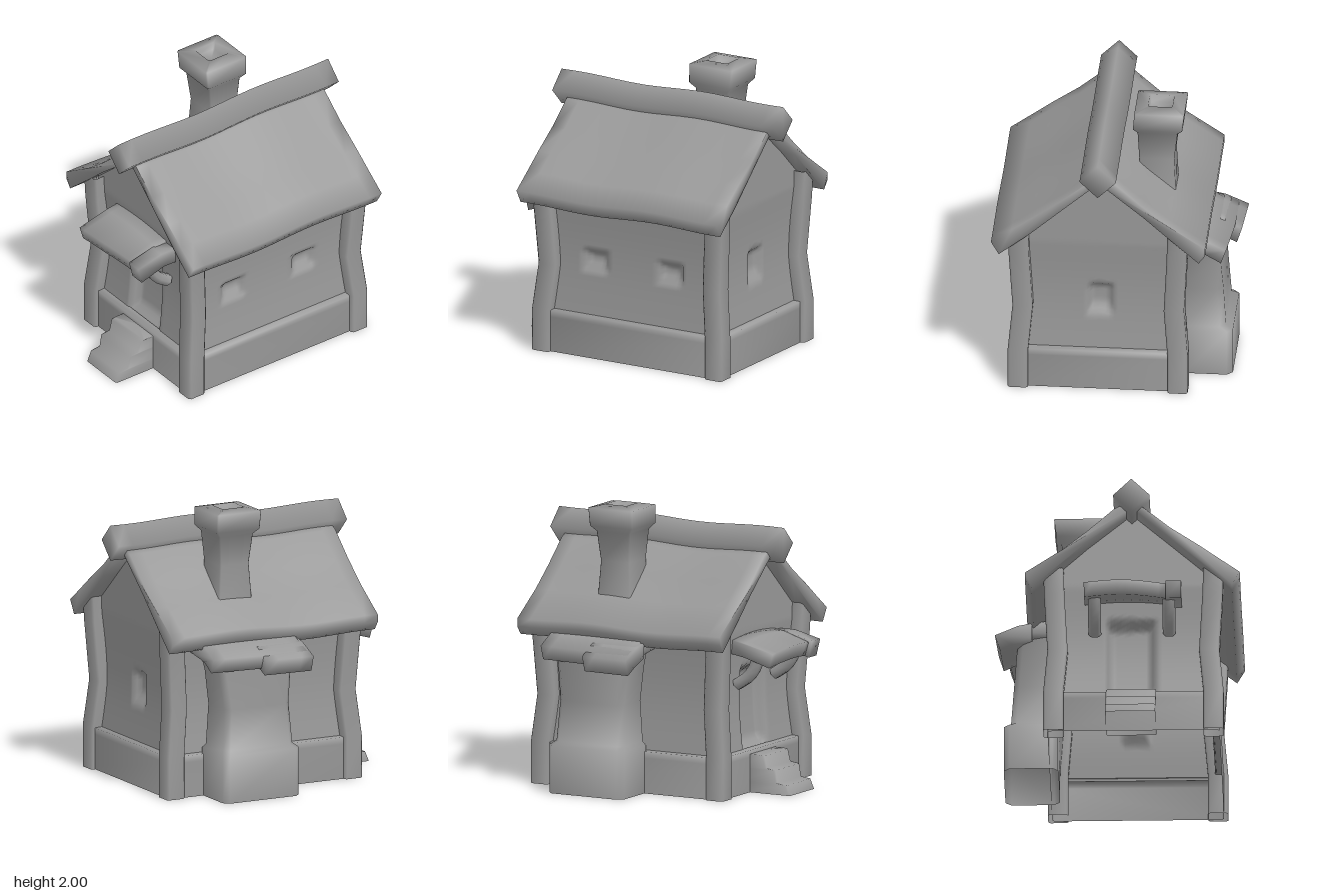
import * as THREE from 'three';
import { toCreasedNormals } from 'three/addons/utils/BufferGeometryUtils.js';

const material = new THREE.MeshStandardMaterial({ color: 0x999999, side: THREE.DoubleSide });

export function createModel() {
  const house = new THREE.Group();

  // Everything is shaded softly, also across its edges
  const add = (name, geometry) => {
    const mesh = new THREE.Mesh(toCreasedNormals(geometry, Math.PI), material);
    mesh.name = name;
    house.add(mesh);
  };

  // Skin of bevelled rectangles stacked upwards: each ring is [y, x0, x1, z0, z1]
  const loft = (rings, bevel = 0.015, closed = false) => {
    const all = rings.slice();
    if (closed) {
      const [y, x0, x1, z0, z1] = rings[rings.length - 1];
      all.push([y, (x0 + x1) / 2, (x0 + x1) / 2, (z0 + z1) / 2, (z0 + z1) / 2]);
    }
    const pos = [], index = [];
    for (const [y, x0, x1, z0, z1] of all) {
      const b = Math.min(bevel, (x1 - x0) / 4, (z1 - z0) / 4);
      const ring = [
        [x1 - b, z1], [x1, z1 - b], [x1, z0 + b], [x1 - b, z0],
        [x0 + b, z0], [x0, z0 + b], [x0, z1 - b], [x0 + b, z1],
      ];
      ring.forEach(([x, z]) => pos.push(x, y, z));
    }
    for (let j = 0; j < all.length - 1; j++) {
      for (let i = 0; i < 8; i++) {
        const a = j * 8 + i, b = j * 8 + (i + 1) % 8;
        index.push(a, b, b + 8);
        if (!closed || j < all.length - 2) index.push(a, b + 8, a + 8);
      }
    }
    const g = new THREE.BufferGeometry();
    g.setAttribute('position', new THREE.Float32BufferAttribute(pos, 3));
    g.setIndex(index);
    g.computeVertexNormals();
    return g;
  };

  // Moves every vertex by a rule
  const warp = (g, rule) => {
    const p = g.attributes.position, v = new THREE.Vector3();
    for (let i = 0; i < p.count; i++) {
      rule(v.fromBufferAttribute(p, i));
      p.setXYZ(i, v.x, v.y, v.z);
    }
    g.computeVertexNormals();
    return g;
  };

  // Outline in (x, y) drawn along z, and outline in (z, y) drawn along x
  const alongZ = (points, z0, z1, steps = 1) => {
    const shape = new THREE.Shape(points.map(([x, y]) => new THREE.Vector2(x, y)));
    return new THREE.ExtrudeGeometry(shape, { depth: z1 - z0, steps, bevelEnabled: false }).translate(0, 0, z0);
  };
  const alongX = (points, x0, x1, steps = 1) =>
    alongZ(points.map(([z, y]) => [-z, y]), x0, x1, steps).rotateY(Math.PI / 2);

  // Wavy sag shared by the ridge and the roof
  const sag = (v) => {
    const t = v.x - 0.08;
    v.y += 0.013 * Math.sin(t * Math.PI / 0.6) * Math.max(0, 1 - (t / 0.92) ** 2);
  };

  // Corner posts, pinched towards the middle of the house at half height
  for (const [side, x, dx] of [['Left', 0.79, -0.035], ['Right', -0.62, 0.035]]) {
    for (const [end, z, dz] of [['front', 0.68, -0.03], ['back', -0.438, 0.028]]) {
      const ring = (y, k) => [y, x + dx * k - 0.07, x + dx * k + 0.07, z + dz * k - 0.071, z + dz * k + 0.071];
      add(`${end}${side}Post`, loft([ring(0, 0), ring(0.3, 0), ring(0.63, 1), ring(1.05, 0.2), ring(1.245, 0)], 0.015));
    }
  }

  // Plinth with a narrow ledge
  add('plinth', loft([
    [0, -0.66, 0.83, -0.48, 0.72], [0.25, -0.66, 0.83, -0.48, 0.72],
    [0.297, -0.66, 0.83, -0.48, 0.72], [0.3, -0.6, 0.77, -0.42, 0.66],
  ]));

  // Bowed wall panel with soft recesses [centre, y, width, height, depth]
  const wall = (a0, a1, top, recesses) => warp(new THREE.PlaneGeometry(1, 1, 50, 50), (v) => {
    const a = a0 + (v.x + 0.5) * (a1 - a0);
    const y = 0.28 + (v.y + 0.5) * (top(a) - 0.28);
    let depth = 0.03 * Math.sin(Math.PI * THREE.MathUtils.clamp((y - 0.28) / 0.85, 0, 1));
    for (const [c, cy, w, h, d] of recesses) {
      const inside = Math.min(w / 2 - Math.abs(a - c), cy + h / 2 - y, 0.5 * (y - cy + h / 2));
      depth += d * THREE.MathUtils.clamp(inside / 0.045, 0, 1);
    }
    v.set(a, y, -depth);
  });
  const eaves = () => 1.24;
  const gable = (z) => 1.7 - 0.85 * Math.abs(z - 0.11);
  add('frontWall', wall(-0.63, 0.8, eaves, [[-0.23, 0.68, 0.21, 0.18, 0.05], [0.38, 0.68, 0.21, 0.18, 0.05]])
    .translate(0, 0, 0.67));
  add('backWall', wall(-0.8, 0.63, eaves, []).rotateY(Math.PI).translate(0, 0, -0.43));
  add('leftGableWall', wall(-0.68, 0.44, (a) => gable(-a), [[-0.11, 0.67, 0.2, 0.26, 0.05]])
    .rotateY(Math.PI / 2).translate(0.78, 0, 0));
  add('doorGableWall', wall(-0.44, 0.68, gable, [[0.1, 0.57, 0.36, 0.62, 0.07]])
    .rotateY(-Math.PI / 2).translate(-0.61, 0, 0));

  // Roof slopes and diamond ridge beam
  add('frontRoof', warp(alongX([
    [0.13, 1.72], [0.2, 1.67], [0.38, 1.52], [0.57, 1.39], [0.72, 1.28], [0.865, 1.175],
    [0.81, 1.08], [0.6, 1.245], [0.38, 1.44], [0.13, 1.66],
  ], -0.74, 0.89, 16), sag));
  add('backRoof', warp(alongX([
    [0.09, 1.72], [-0.01, 1.67], [-0.2, 1.5], [-0.38, 1.355], [-0.635, 1.185], [-0.635, 1.13],
    [-0.59, 1.07], [-0.37, 1.265], [-0.2, 1.42], [0.09, 1.66],
  ], -0.74, 0.89, 16), sag));
  add('ridgeBeam', warp(alongX([
    [0.11, 1.86], [0.237, 1.735], [0.11, 1.61], [-0.017, 1.735],
  ], -0.83, 0.98, 16), sag));

  // Chimney with a flared cap and a sunken flue
  add('chimney', loft([
    [1.3, 0.12, 0.39, -0.39, -0.13], [1.6, 0.14, 0.37, -0.375, -0.13], [1.81, 0.12, 0.39, -0.4, -0.12],
    [1.85, 0.085, 0.425, -0.435, -0.09], [1.98, 0.08, 0.43, -0.45, -0.1], [2, 0.17, 0.34, -0.36, -0.19],
    [1.95, 0.18, 0.33, -0.35, -0.2],
  ], 0.01, true));

  // Bay on the back wall with its wider foot
  add('backBay', loft([
    [0, -0.045, 0.56, -0.8, -0.42], [0.34, -0.045, 0.56, -0.8, -0.42], [0.365, -0.02, 0.53, -0.75, -0.42],
    [0.65, 0, 0.51, -0.73, -0.42], [0.9, -0.03, 0.54, -0.71, -0.42], [1.04, -0.06, 0.58, -0.69, -0.42],
  ], 0.04));
  add('backAwning', warp(alongX([
    [-0.42, 1.12], [-0.62, 1.1], [-0.795, 1.03], [-0.76, 0.93], [-0.62, 0.99], [-0.42, 1.02],
  ], -0.09, 0.63, 8), (v) => { if (v.z < -0.7) v.z += 0.035 * Math.max(0, (v.x - 0.25) / 0.38); }));
  add('backAwningPlank', warp(alongX([
    [-0.6, 1.09], [-0.7, 1.07], [-0.86, 1], [-0.825, 0.89], [-0.74, 0.93], [-0.6, 0.98],
  ], -0.11, 0.25, 4), (v) => { if (v.z < -0.7) v.z += 0.02 * (v.x + 0.11) / 0.36; }));

  // Door awning: a sagging slab, an end plank and two curved braces
  add('doorAwning', warp(alongZ([
    [-0.58, 1.1], [-0.7, 1.08], [-0.93, 1.02], [-0.9, 0.92], [-0.7, 0.98], [-0.58, 1],
  ], -0.22, 0.36, 10), (v) => {
    if (v.x < -0.8) v.x += 0.04 * THREE.MathUtils.clamp((v.z - 0.04) / 0.32, 0, 1);
    v.y += 0.02 * Math.sin(Math.PI * (v.z + 0.22) / 0.58);
  }));
  add('doorAwningPlank', alongZ([
    [-0.6, 1.08], [-0.72, 1.08], [-0.92, 1.03], [-0.89, 0.91], [-0.7, 0.97], [-0.6, 0.97],
  ], 0.35, 0.46));
  for (const z of [-0.15, 0.37]) {
    const path = new THREE.CatmullRomCurve3([[-0.78, 0.99], [-0.745, 0.9], [-0.69, 0.83], [-0.6, 0.77]]
      .map(([x, y]) => new THREE.Vector3(x, y, z)));
    add('awningBrace', new THREE.TubeGeometry(path, 6, 0.045, 6));
  }

  // Steps up to the door, open underneath
  add('steps', loft([
    [0, -0.98], [0.07, -0.95], [0.08, -0.875], [0.17, -0.86], [0.18, -0.79], [0.265, -0.77], [0.27, -0.74],
  ].map(([y, x]) => [y, x, -0.58, -0.07, 0.28]), 0.01, true));

  return house;
}
